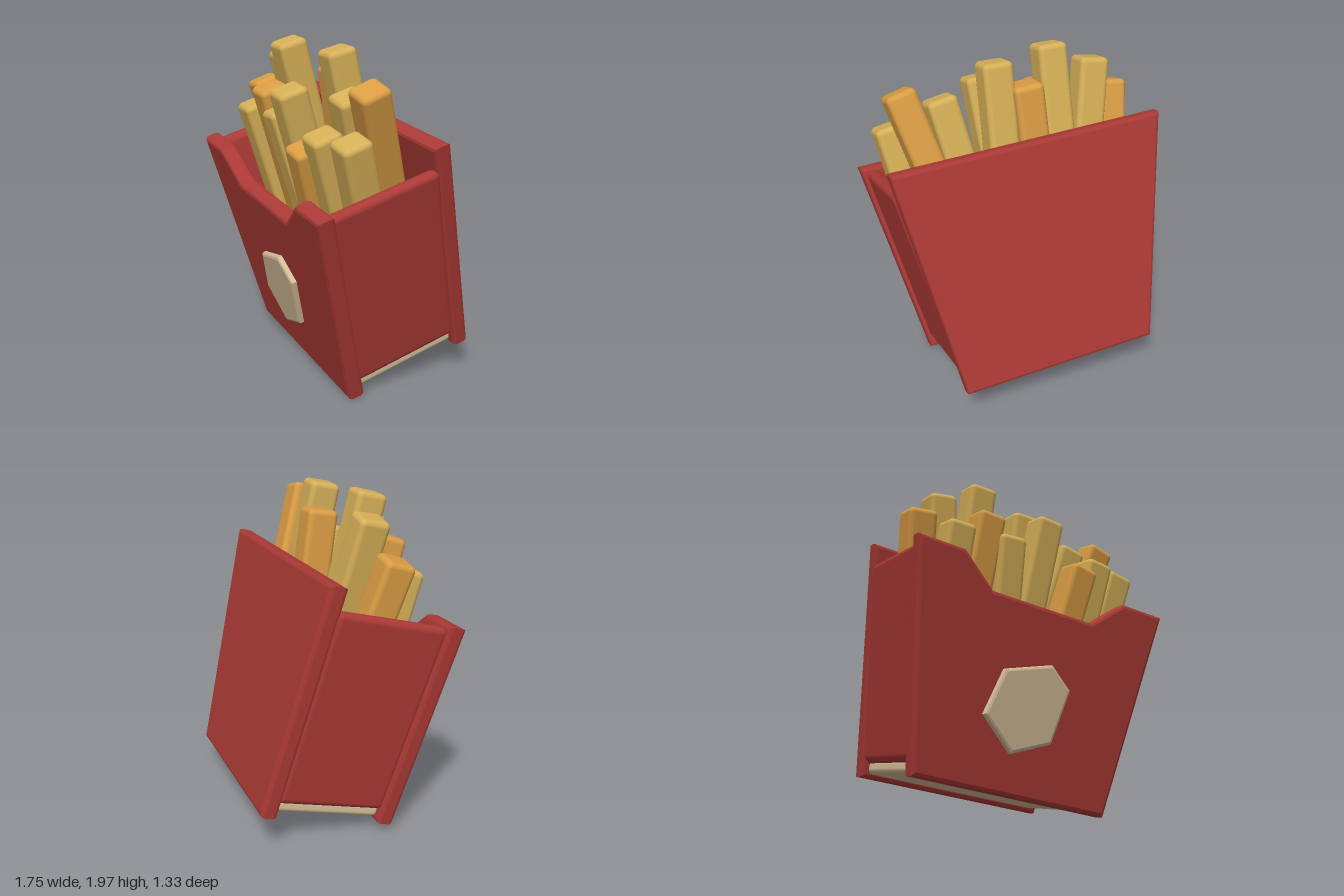
import * as THREE from 'three';
import { RoundedBoxGeometry } from 'three/addons/geometries/RoundedBoxGeometry.js';

const mat = (name, color) => {
  const m = new THREE.MeshStandardMaterial({ color });
  m.name = name;
  return m;
};

export function createModel() {
  const red = mat('red card', 0xac3a36);
  const cream = mat('cream card', 0xd4bd98);
  const yellow = mat('yellow potato', 0xd6b058);
  const orange = mat('toasted potato', 0xdb9d45);

  const model = new THREE.Group();
  model.name = 'friesBox';

  // The carton leans forward and is turned a little
  const carton = new THREE.Group();
  carton.name = 'carton';
  carton.rotation.set(0.265, -0.164, 0);
  model.add(carton);
  const cx = -0.022;

  const add = (parent, name, geometry, material) => {
    const mesh = new THREE.Mesh(geometry, material);
    mesh.name = name;
    parent.add(mesh);
    return mesh;
  };

  // Flat plate with softened edges, its outline in x and y, from z0 to z1
  const plate = (points, z0, z1, bevel) => {
    const shape = new THREE.Shape(points.map(([x, y]) => new THREE.Vector2(x, y)));
    const g = new THREE.ExtrudeGeometry(shape, {
      depth: z1 - z0 - 2 * bevel, bevelEnabled: true, bevelThickness: bevel,
      bevelSize: bevel, bevelOffset: -bevel, bevelSegments: 2,
    });
    return g.translate(0, 0, z0 + bevel);
  };

  // Front panel with a dipped top edge
  const half = [[0.612, 0.088], [0.832, 1.357], [0.545, 1.357], [0.335, 1.18]];
  const mirrored = half.map(([x, y]) => [-x, y]).reverse();
  add(carton, 'frontPanel', plate([...half, ...mirrored], 0.1, 0.202, 0.022), red).position.x = cx;

  // Taller back panel
  add(carton, 'backPanel', plate(
    [[0.605, 0.084], [0.815, 1.472], [-0.815, 1.472], [-0.605, 0.084]], -0.63, -0.53, 0.022), red).position.x = cx;

  // Slanted side walls with round edges
  for (const side of [1, -1]) {
    const g = new RoundedBoxGeometry(0.09, 1.17, 0.67, 4, 0.04);
    g.applyMatrix4(new THREE.Matrix4().makeShear(0, 0, side * 0.172, 0, 0, 0));
    add(carton, side > 0 ? 'leftWall' : 'rightWall', g, red)
      .position.set(cx + side * 0.66, 0.755, -0.215);
  }

  // Floor
  add(carton, 'floor', new RoundedBoxGeometry(1.14, 0.08, 0.66, 3, 0.03), cream)
    .position.set(cx, 0.15, -0.215);

  // Six-sided badge on the front
  add(carton, 'badge', plate([[-0.217, 0.764], [-0.298, 0.491], [-0.095, 0.314],
    [0.149, 0.418], [0.22, 0.742], [0.078, 0.86]], 0.17, 0.235, 0.018), cream);

  // Fries: centre of the top end (x, y, z), lean dx/dy and dz/dy, colour
  const fries = [
    [-0.505, 1.575, 0.26, -0.05, 0.3, yellow],
    [-0.295, 1.71, 0.28, 0, 0.3, orange],
    [-0.155, 1.6, 0.3, -0.11, 0.27, yellow],
    [0.075, 1.765, 0.39, 0.03, 0.3, yellow],
    [0.305, 1.495, 0.44, 0.13, 0.33, orange],
    [0.45, 1.59, 0.43, 0.07, 0.32, yellow],
    [0.665, 1.59, 0.4, 0.13, 0.32, yellow],
    [-0.665, 1.68, 0.09, -0.17, 0.3, orange],
    [-0.49, 1.88, 0.04, -0.19, 0.2, yellow],
    [-0.27, 1.97, 0.16, -0.03, 0.26, yellow],
    [-0.01, 1.84, 0, 0.03, 0.17, orange],
    [0.13, 1.965, 0.1, -0.04, 0.22, yellow],
    [0.415, 1.765, 0.23, 0.14, 0.32, yellow],
    [0.645, 1.84, 0.27, 0.21, 0.38, orange],
  ];
  const up = new THREE.Vector3(0, 1, 0).applyEuler(carton.rotation);
  const across = new THREE.Vector3(1, 0, 0).applyEuler(carton.rotation);
  const friesGroup = new THREE.Group();
  friesGroup.name = 'fries';
  model.add(friesGroup);
  for (const [x, y, z, dx, dz, material] of fries) {
    const top = new THREE.Vector3(x, y, z);
    const dir = new THREE.Vector3(dx, 1, dz).normalize();
    // Each fry ends a little above the floor
    const length = (top.dot(up) - 0.35) / dir.dot(up);
    const front = across.clone().cross(dir).normalize();
    const right = dir.clone().cross(front);
    const fry = add(friesGroup, 'fry', new RoundedBoxGeometry(0.178, length, 0.178, 3, 0.032), material);
    fry.quaternion.setFromRotationMatrix(new THREE.Matrix4().makeBasis(right, dir, front));
    fry.position.copy(top).addScaledVector(dir, -length / 2);
  }
  return model;
}
